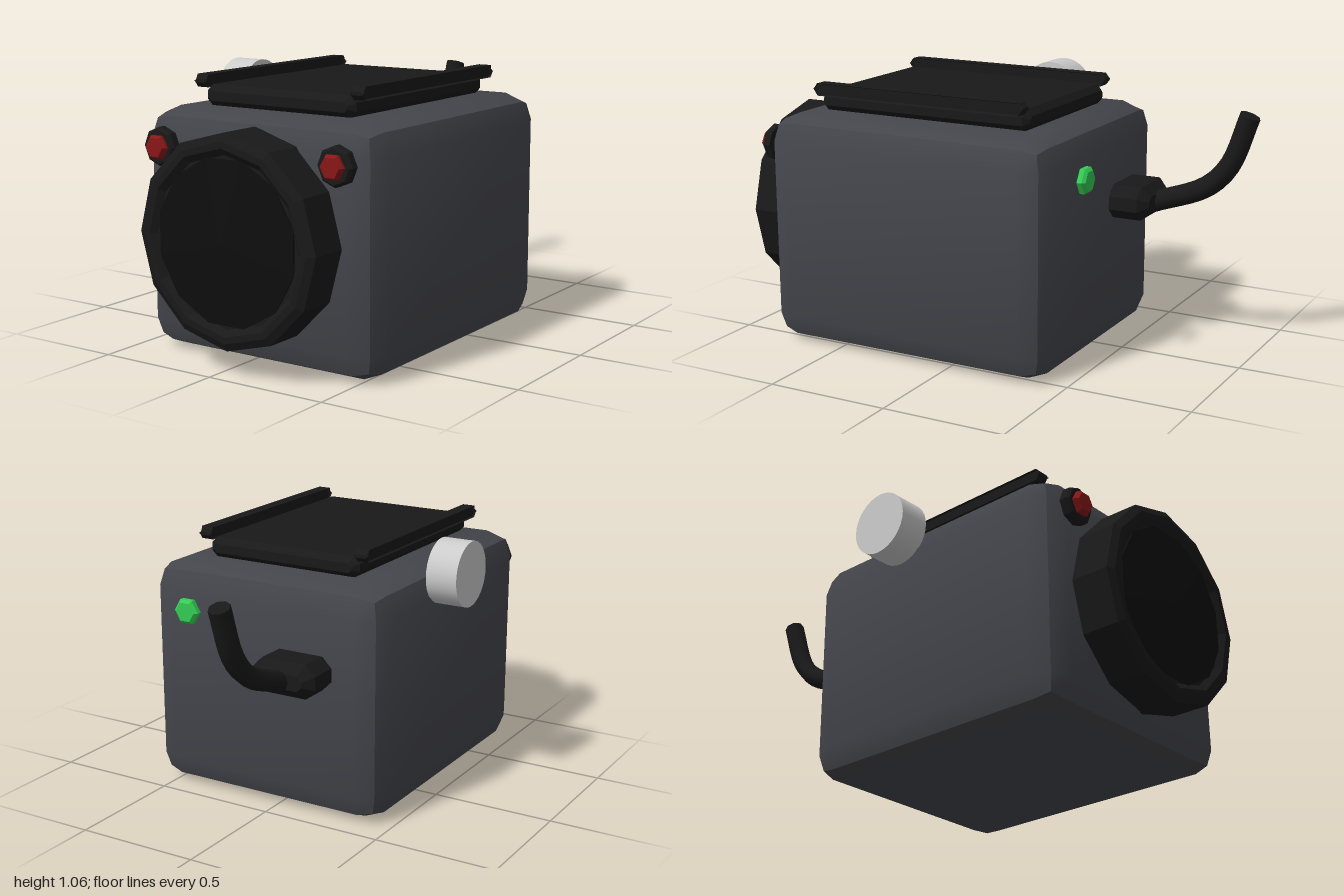
import * as THREE from 'three';
import { RoundedBoxGeometry } from 'three/addons/geometries/RoundedBoxGeometry.js';
import { toCreasedNormals } from 'three/addons/utils/BufferGeometryUtils.js';

const mat = (color, flatShading = true) => {
  const m = new THREE.MeshStandardMaterial({ color });
  m.flatShading = flatShading;
  return m;
};

const V2 = (x, y) => new THREE.Vector2(x, y);

// Box with a single chamfer of size c on every edge, centred on the origin
function chamferBox(w, h, d, c) {
  const x = w / 2 - c, y = h / 2 - c;
  const k = c * 0.5;
  const shape = new THREE.Shape([
    V2(-x + k, -y), V2(x - k, -y), V2(x, -y + k), V2(x, y - k),
    V2(x - k, y), V2(-x + k, y), V2(-x, y - k), V2(-x, -y + k),
  ]);
  const g = new THREE.ExtrudeGeometry(shape, {
    depth: d - 2 * c, bevelEnabled: true, bevelSize: c, bevelThickness: c, bevelSegments: 1,
  });
  g.translate(0, 0, -d / 2 + c);
  return g;
}

// Turned solid around z from [radius, z] pairs
function turned(points, sides, phase = 0) {
  const g = new THREE.LatheGeometry(points.map(([r, z]) => V2(r, z)), sides, phase);
  return g.rotateX(Math.PI / 2);
}

export function createModel() {
  const model = new THREE.Group();
  model.name = 'actionCamera';
  const add = (name, geometry, material, x = 0, y = 0, z = 0) => {
    const mesh = new THREE.Mesh(geometry, material);
    mesh.name = name;
    mesh.position.set(x, y, z);
    model.add(mesh);
    return mesh;
  };

  const black = mat(0x191919);
  const glass = mat(0x0e0e0e);
  const red = mat(0x8a1717);
  const green = mat(0x33cc55);
  const cx = 0.06;

  // Housing: each face blends into its half of the bevel
  const body = toCreasedNormals(new RoundedBoxGeometry(1.06, 0.94, 1.25, 1, 0.11), 0.6);
  add('body', body, mat(0x45464c, false), cx, 0.47, 0.19);

  // Lens barrel and its slightly pointed glass
  add('lensBarrel', turned([
    [0, 0.79], [0.4, 0.79], [0.4, 0.97], [0.37, 0.985], [0.345, 0.985], [0.32, 0.965], [0, 0.965],
  ], 12), black, cx, 0.5, 0);
  add('lensGlass', turned([[0.315, 0.962], [0.315, 0.972], [0, 1.0]], 12, Math.PI / 12),
    glass, cx, 0.5, 0);

  // Front lamps
  for (const side of [-1, 1]) {
    const x = cx + side * 0.4;
    add('lampRing', turned([[0, 0.826], [0.075, 0.826], [0.075, 0.855], [0.065, 0.865], [0, 0.865]], 8),
      black, x, 0.8, 0);
    add('lampLens', turned([[0, 0.855], [0.05, 0.855], [0.05, 0.875], [0.04, 0.89], [0, 0.89]], 6, Math.PI / 6),
      red, x, 0.8, 0);
  }

  // Top plate with a rail along each side
  add('topPlate', chamferBox(0.685, 0.085, 0.94, 0.024), black, cx, 0.9775, 0.193);
  for (const side of [-1, 1]) {
    add('topRail', chamferBox(0.092, 0.05, 0.94, 0.018), black, cx + side * 0.36, 1.031, 0.193);
  }

  // Side knob
  const knob = new THREE.CylinderGeometry(0.131, 0.131, 0.13, 32).rotateZ(Math.PI / 2);
  add('sideKnob', knob, mat(0xcccccc, false), -0.532, 0.924, 0.065);

  // Rear indicator
  add('rearIndicator', turned([[0, -0.516], [0.042, -0.516], [0.055, -0.505], [0.055, -0.485], [0, -0.485]], 6, Math.PI / 6),
    green, 0.355, 0.772, 0);

  // Rear plug and its cable
  add('plug', chamferBox(0.275, 0.136, 0.25, 0.038), black, -0.128, 0.598, -0.467);
  const path = new THREE.CatmullRomCurve3([
    [0.585, -0.56], [0.6, -0.6], [0.675, -0.79], [0.77, -0.883], [0.975, -0.96],
  ].map(([y, z]) => new THREE.Vector3(-0.128, y, z)));
  const ring = new THREE.Shape(Array.from({ length: 8 }, (_, i) => {
    const a = (i / 8) * Math.PI * 2;
    return V2(Math.cos(a) * 0.042, Math.sin(a) * 0.042);
  }));
  const cable = new THREE.ExtrudeGeometry(ring, { steps: 14, extrudePath: path, bevelEnabled: false });
  add('cable', toCreasedNormals(cable, 0.9), mat(0x191919, false));

  return model;
}
